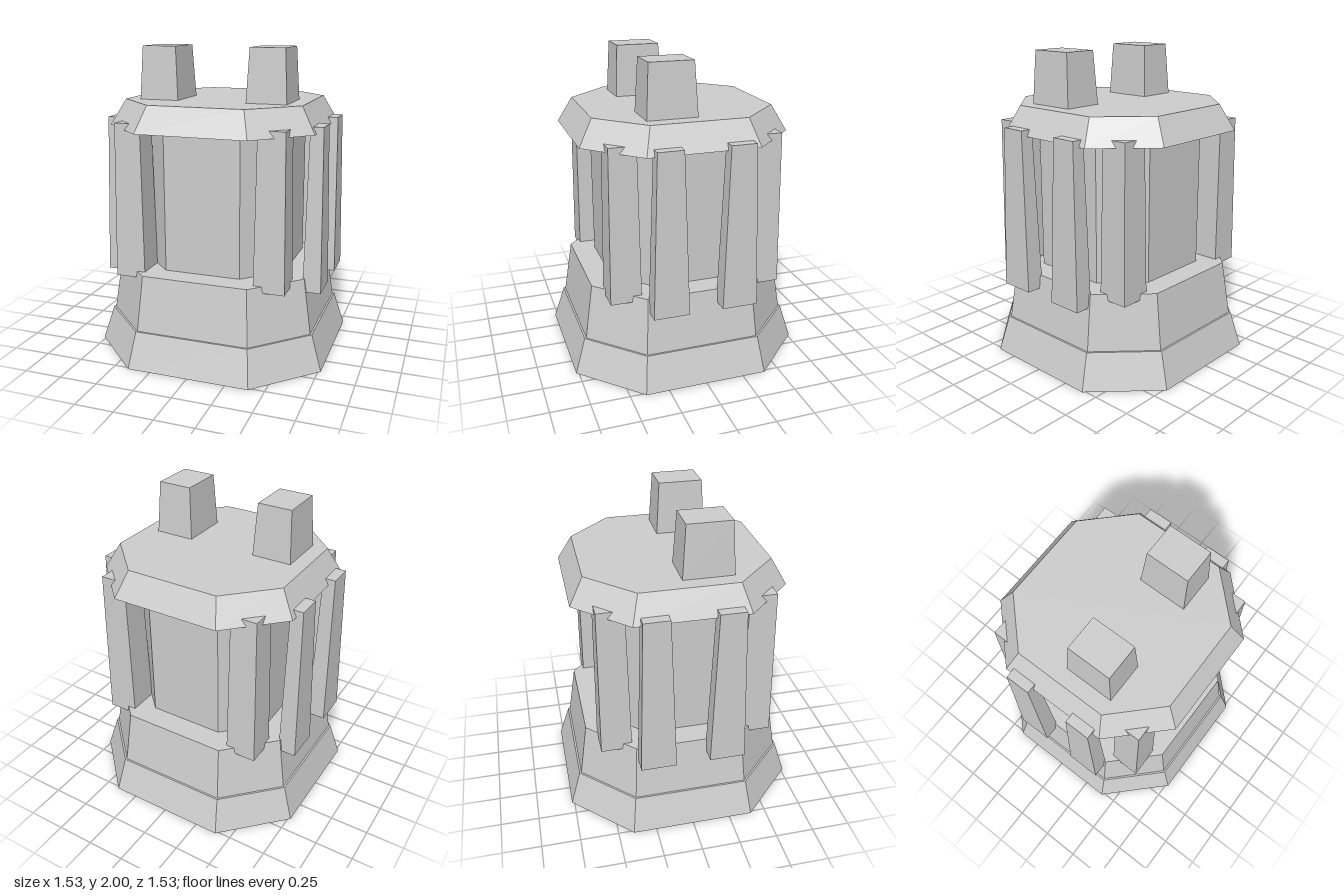
import * as THREE from 'three';

const grey = new THREE.MeshStandardMaterial({ color: 0xcccccc, flatShading: true });
grey.name = 'plain grey';

// Octagon outline: half width a, half length of the straight side c
const octagon = (a, c) => [
  [c, a], [a, c], [a, -c], [c, -a], [-c, -a], [-a, -c], [-a, c], [-c, a],
];

// Rectangle outline in the same winding
const rect = (x0, x1, z0, z1) => [[x1, z1], [x1, z0], [x0, z0], [x0, z1]];

// Closed solid between a lower and an upper outline
function frustum(name, lower, y0, upper, y1) {
  const pos = [];
  const n = lower.length;
  const lo = (i) => [lower[i % n][0], y0, lower[i % n][1]];
  const hi = (i) => [upper[i % n][0], y1, upper[i % n][1]];
  for (let i = 0; i < n; i++) {
    pos.push(...lo(i), ...lo(i + 1), ...hi(i + 1), ...lo(i), ...hi(i + 1), ...hi(i));
  }
  for (let i = 1; i < n - 1; i++) {
    pos.push(...hi(0), ...hi(i), ...hi(i + 1));
    pos.push(...lo(0), ...lo(i + 1), ...lo(i));
  }
  const geo = new THREE.BufferGeometry();
  geo.setAttribute('position', new THREE.Float32BufferAttribute(pos, 3));
  geo.computeVertexNormals();
  const mesh = new THREE.Mesh(geo, grey);
  mesh.name = name;
  return mesh;
}

// Rectangle mirrored to the given side
function sideRect(sx, sz, x0, x1, z0, z1) {
  const xs = [x0 * sx, x1 * sx], zs = [z0 * sz, z1 * sz];
  return rect(Math.min(...xs), Math.max(...xs), Math.min(...zs), Math.max(...zs));
}

export function createModel() {
  const model = new THREE.Group();
  model.name = 'tower';

  // Stepped octagonal body
  model.add(
    frustum('foot', octagon(0.767, 0.4), 0, octagon(0.697, 0.372), 0.23),
    frustum('plinth', octagon(0.685, 0.367), 0.23, octagon(0.632, 0.345), 0.586),
    frustum('core', octagon(0.48, 0.25), 0.586, octagon(0.48, 0.25), 1.5),
    frustum('roof', octagon(0.675, 0.355), 1.498, octagon(0.584, 0.306), 1.663),
  );

  for (const sx of [1, -1]) {
    // Chimneys on the roof
    model.add(frustum('chimney',
      sideRect(sx, 1, 0.225, 0.485, -0.024, 0.297), 1.66,
      sideRect(sx, 1, 0.243, 0.467, -0.003, 0.28), 2));

    for (const sz of [1, -1]) {
      // Tapered pillars on the corners and on the two sides
      model.add(frustum('cornerPillar',
        sideRect(sx, sz, 0.362, 0.561, 0.362, 0.561), 0.545,
        sideRect(sx, sz, 0.377, 0.548, 0.377, 0.548), 1.54));
      model.add(frustum('sidePillar',
        sideRect(sx, sz, 0.62, 0.737, 0.109, 0.337), 0.497,
        sideRect(sx, sz, 0.635, 0.718, 0.143, 0.306), 1.54));
    }
  }
  return model;
}
